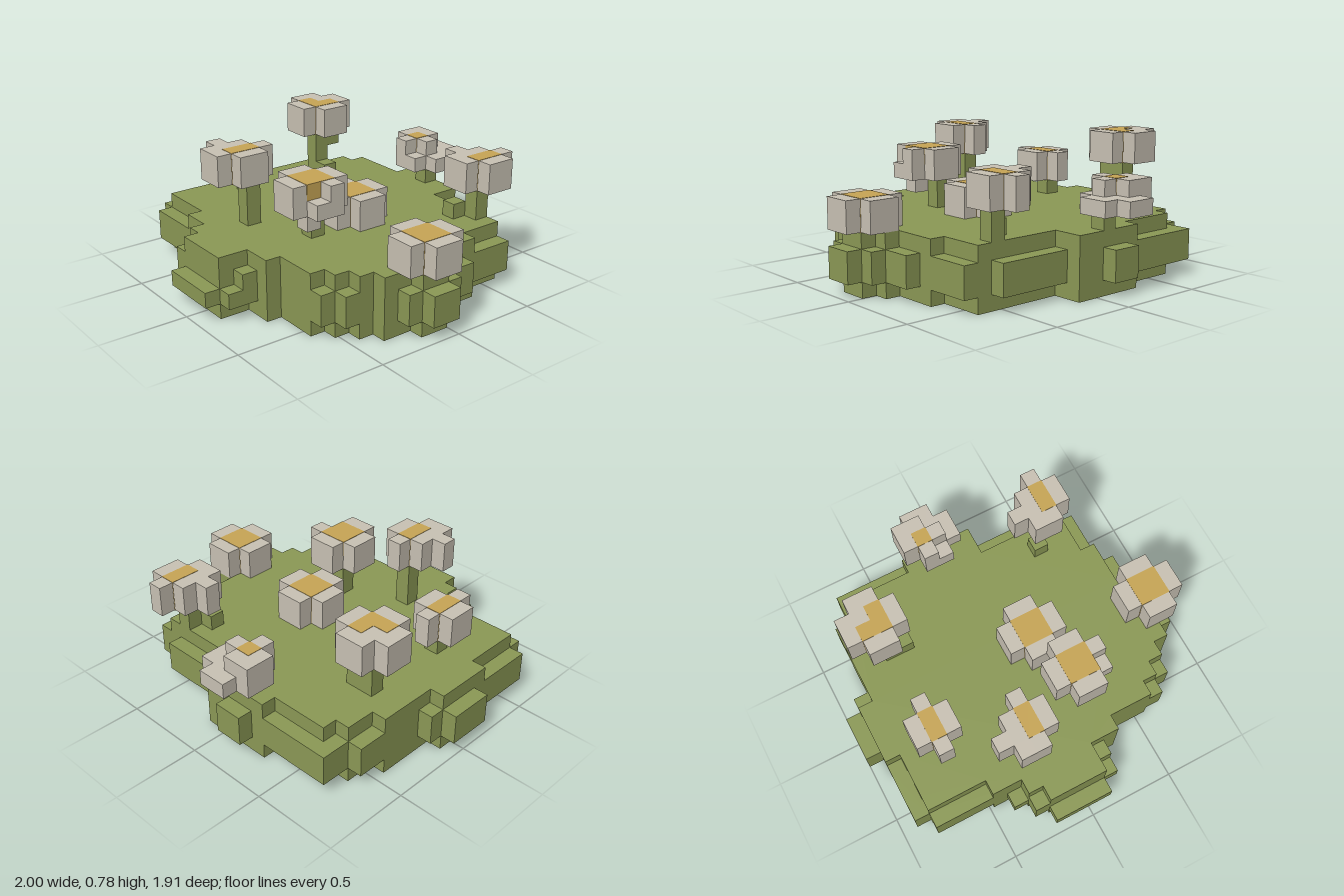
import * as THREE from 'three';

const U = 2 / 23; // one block
const X = (i) => -1 + i * U;
const Z = (k) => (k - 11) * U;

const paint = (name, color) => {
  const m = new THREE.MeshStandardMaterial({ color });
  m.name = name;
  return m;
};

// Box given by its first column, row and level and its size, all in blocks
function block(name, material, [x, z, y], [w, d, h], swell = 0) {
  const mesh = new THREE.Mesh(new THREE.BoxGeometry(w * U + swell, h * U + swell, d * U + swell), material);
  mesh.position.set(X(x + w / 2), (y + h / 2) * U, Z(z + d / 2));
  mesh.name = name;
  return mesh;
}

// Stepped layer, one block high: rows of [left, right] edges from back to front
function layer(name, material, rows, firstRow, level) {
  const right = [], left = [];
  rows.forEach(([a, b], n) => {
    for (const k of [firstRow + n, firstRow + n + 1]) {
      right.push(new THREE.Vector2(X(b), -Z(k)));
      left.unshift(new THREE.Vector2(X(a), -Z(k)));
    }
  });
  const geo = new THREE.ExtrudeGeometry(new THREE.Shape([...right, ...left]), { depth: U, bevelEnabled: false });
  geo.rotateX(-Math.PI / 2);
  const mesh = new THREE.Mesh(geo, material);
  mesh.position.y = level * U;
  mesh.name = name;
  return mesh;
}

export function createModel() {
  const green = paint('leaf green', 0x8c9a56);
  const cream = paint('petal cream', 0xcac3b5);
  const gold = paint('pollen gold', 0xc8a656);
  const model = new THREE.Group();
  model.name = 'flowerMound';

  // Mound: narrow bottom and top, wide middle
  const wide = [[9, 11], [3, 13], [3, 18], ...Array(4).fill([2, 20]), [2, 21], [1, 21], [0, 22], [0, 23],
    [0, 23], [1, 22], [1, 21], [1, 20], [1, 20], [1, 19], [2, 15], [7, 14], [8, 14]];
  const narrow = [[8, 13], [4, 13], [3, 19], [3, 19], [2, 19], ...Array(3).fill([2, 20]), [1, 21], [1, 22],
    [1, 22], [1, 21], [2, 21], [2, 20], [2, 19], [2, 18], [6, 15], [8, 13], [9, 13]];
  model.add(
    layer('moundBottom', green, narrow, 2, 0),
    layer('moundMiddle', green, [...wide, [9, 13]], 1, 1),
    layer('moundUpper', green, [...wide.slice(0, 18), [8, 14], [8, 13]], 1, 2),
    layer('moundTop', green, narrow, 2, 3),
  );

  // Flower helpers: petals form a cross that reaches one block past the centre
  const flower = (name) => {
    const g = new THREE.Group();
    g.name = name;
    model.add(g);
    const petal = (at, size) => g.add(block('petal', cream, at, size));
    const stem = (at, height) => g.add(block('stem', green, at, [1, 1, height]));
    const centre = (at, size) => g.add(block('flowerCentre', gold, at, size, 0.004));
    const cross = ([x, z, y], [w, d, h]) => {
      petal([x - 1, z, y], [w + 2, d, h]);
      petal([x, z - 1, y], [w, d + 2, h]);
    };
    const bloom = (at, size) => {
      cross(at, size);
      centre(at, size);
    };
    return { petal, stem, centre, cross, bloom };
  };

  // Regular flowers
  flower('middleFlower').bloom([12, 10, 4], [2, 2, 2]);
  flower('rightmostFlower').bloom([20, 11, 4], [2, 2, 2]);

  const frontLeft = flower('frontSideFlower');
  frontLeft.bloom([4, 13, 5], [1, 2, 2]);
  frontLeft.stem([4, 13, 4], 1);

  // Flowers with extra petals
  const front = flower('frontFlower');
  front.bloom([9, 16, 7], [1, 2, 2]);
  front.petal([7, 17, 7], [1, 1, 2]);
  front.petal([8, 18, 7], [1, 1, 2]);
  front.stem([9, 16, 4], 3);

  const backCorner = flower('backCornerFlower');
  backCorner.bloom([17, 3, 6], [1, 2, 2]);
  backCorner.petal([15, 4, 6], [1, 1, 2]);
  backCorner.petal([16, 5, 6], [1, 1, 2]);
  backCorner.stem([17, 4, 4], 2);
  backCorner.stem([16, 5, 4], 1);

  // Tall flower with an angled centre and a sprout at its foot
  const tall = flower('tallFlower');
  tall.cross([3, 6, 7], [2, 2, 2]);
  tall.centre([4, 6, 7], [1, 1, 2]);
  tall.centre([3, 7, 7], [2, 1, 2]);
  tall.stem([4, 7, 4], 3);
  tall.stem([4, 6, 6], 1);
  tall.stem([5, 7, 4], 1);

  // Two-tier flower at the back
  const back = flower('backFlower');
  back.cross([9, 1, 5], [2, 2, 1]);
  back.bloom([9, 2, 6], [1, 1, 1]);
  back.petal([8, 1, 6], [1, 1, 1]);
  back.stem([10, 2, 4], 1);

  // Flower with one drooping corner
  const drooping = flower('droopingFlower');
  drooping.petal([13, 13, 6], [2, 4, 2]);
  drooping.petal([12, 14, 6], [4, 1, 2]);
  drooping.petal([12, 15, 6], [3, 1, 2]);
  drooping.petal([15, 15, 6], [1, 1, 1]);
  drooping.petal([14, 15, 5], [1, 1, 1]);
  drooping.centre([13, 14, 7], [2, 2, 1]);
  drooping.stem([13, 14, 4], 2);

  return model;
}
